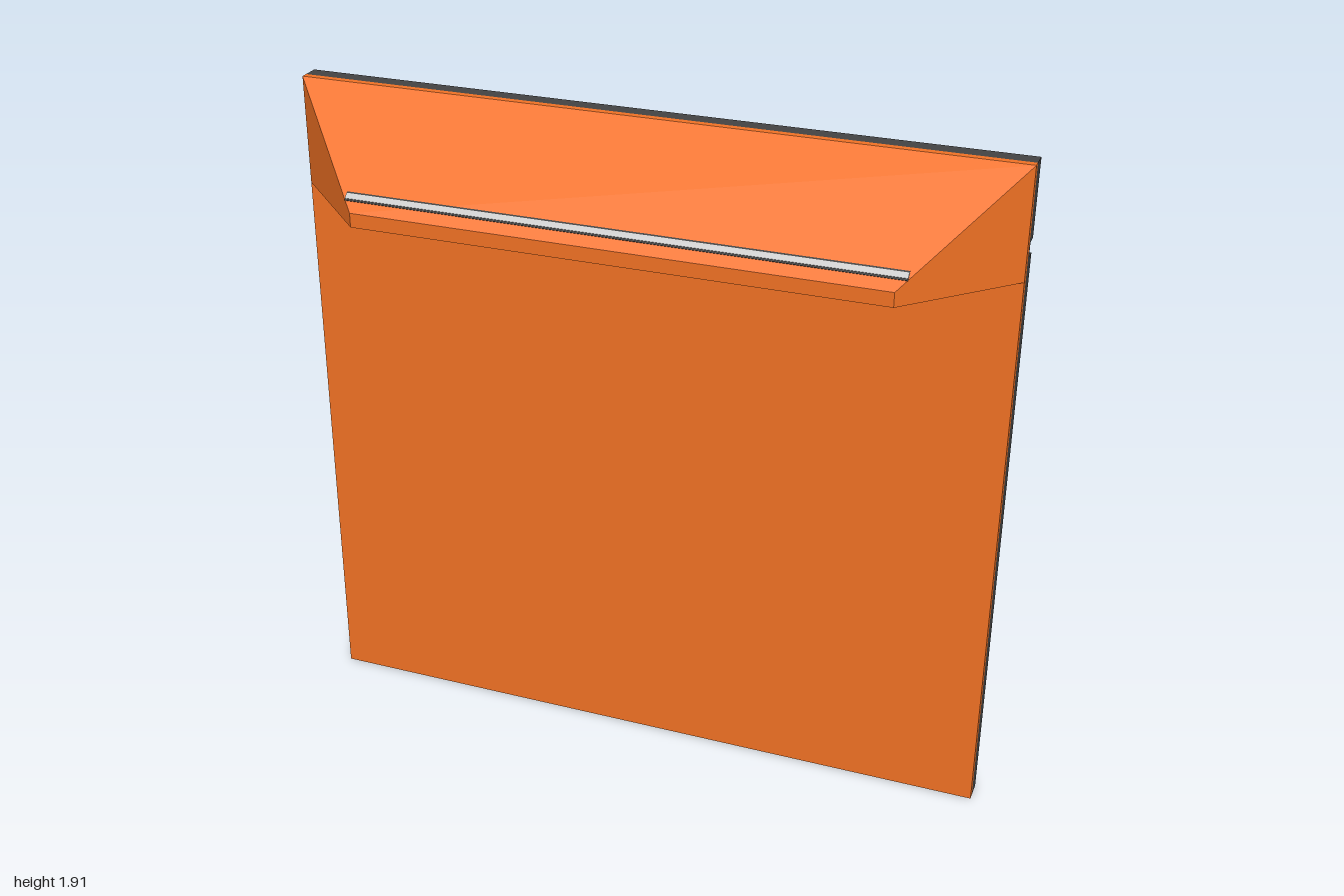
import * as THREE from 'three';

const H = 1.91;
const mat = (color) => new THREE.MeshStandardMaterial({ color, flatShading: true });

// closed polygon as a shape (or a hole path)
const poly = (pts, Kind = THREE.Shape) => new Kind(pts.map((p) => new THREE.Vector2(...p)));
const rect = (x, y, w, h, Kind) => poly(
  [[x - w / 2, y - h / 2], [x + w / 2, y - h / 2], [x + w / 2, y + h / 2], [x - w / 2, y + h / 2]], Kind);
const extrude = (shape, depth) => new THREE.ExtrudeGeometry(shape, { depth, bevelEnabled: false });

export function createModel() {
  const group = new THREE.Group();
  const orange = mat(0xf27224), dark = mat(0x444444), grey = mat(0xcccccc), black = mat(0x333333);
  const add = (name, geometry, material, x = 0, y = 0, z = 0) => {
    const mesh = new THREE.Mesh(geometry, material);
    mesh.name = name;
    mesh.position.set(x, y, z);
    group.add(mesh);
    return mesh;
  };

  // front panel
  add('frontPanel', new THREE.BoxGeometry(2, H, 0.02), orange, 0, H / 2, -0.11);

  // hood: wedge profile swept across, its ends mitred at 45 degrees
  const hood = extrude(poly([[-0.1, 1.605], [0.165, 1.605], [0.165, 1.645], [-0.1, H]]), 2);
  hood.rotateY(-Math.PI / 2).translate(1, 0, 0);
  const hp = hood.attributes.position;
  for (let i = 0; i < hp.count; i++) hp.setX(i, Math.sign(hp.getX(i)) * (0.9 - hp.getZ(i)));
  hood.computeVertexNormals();
  add('hood', hood, orange);

  // bright strip with dark seams along the lower edge of the hood slope
  const strip = (name, y, width, material, thick) => {
    const m = add(name, new THREE.BoxGeometry(1.52, width, thick), material, 0, y, 1.81 - y);
    m.rotation.x = -Math.PI / 4;
  };
  strip('stripSeam', 1.678, 0.026, black, 0.004);
  strip('hoodStrip', 1.678, 0.016, grey, 0.008);

  // thin backing sheet with a square opening in the middle
  const sheet = rect(0, H / 2, 2, H);
  sheet.holes.push(rect(0, 1.745, 0.05, 0.05, THREE.Path));
  add('backSheet', extrude(sheet, 0.013), dark, 0, 0, -0.133);

  // channels in the back, open at the bottom: [centre, half width, top]
  const channels = [];
  for (let i = -3; i <= 3; i++) channels.push([i * 0.253, 0.058, 1.845]);
  for (const s of [-1, 1]) channels.push([s * 0.143, 0.02, 1.82], [s * 0.875, 0.017, 1.62]);
  channels.sort((a, b) => a[0] - b[0]);

  const outline = [[-1, 0]];
  for (const [c, w, top] of channels) {
    outline.push([c - w, 0], [c - w, top], [c + w, top], [c + w, 0]);
  }
  // side notches
  outline.push([1, 0], [1, 1.66], [0.89, 1.66], [0.89, 1.7], [1, 1.7], [1, H],
    [-1, H], [-1, 1.7], [-0.89, 1.7], [-0.89, 1.66], [-1, 1.66]);
  const ribs = poly(outline);

  // hanging slots, small vents and corner pockets
  for (const s of [-1, 1]) {
    for (const x of [0.665, 0.338]) {
      for (const y of [0.125, 1.78]) {
        ribs.holes.push(poly([[-0.008, -0.055], [0.008, -0.055], [0.017, 0.01], [0.017, 0.045],
          [0.008, 0.055], [-0.008, 0.055], [-0.017, 0.045], [-0.017, 0.01]]
          .map(([a, b]) => [s * x + a, y + b]), THREE.Path));
      }
    }
    for (const y of [1.775, 1.825]) ribs.holes.push(rect(s * 0.605, y, 0.03, 0.03, THREE.Path));
    ribs.holes.push(rect(s * 0.95, 1.8, 0.025, 0.15, THREE.Path));
    ribs.holes.push(rect(s * 0.9, 1.77, 0.025, 0.09, THREE.Path));
  }

  // slope the channel walls by narrowing the channels towards their floors
  const back = extrude(ribs, 0.032).translate(0, 0, -0.165);
  const bp = back.attributes.position;
  for (let i = 0; i < bp.count; i++) {
    if (bp.getZ(i) < -0.14) continue;
    const x = bp.getX(i);
    const ch = channels.find(([c, w]) => Math.abs(Math.abs(x - c) - w) < 1e-4);
    if (ch) bp.setX(i, x - Math.sign(x - ch[0]) * ch[1] * 0.35);
  }
  back.computeVertexNormals();
  add('ribbedBack', back, dark);

  return group;
}
